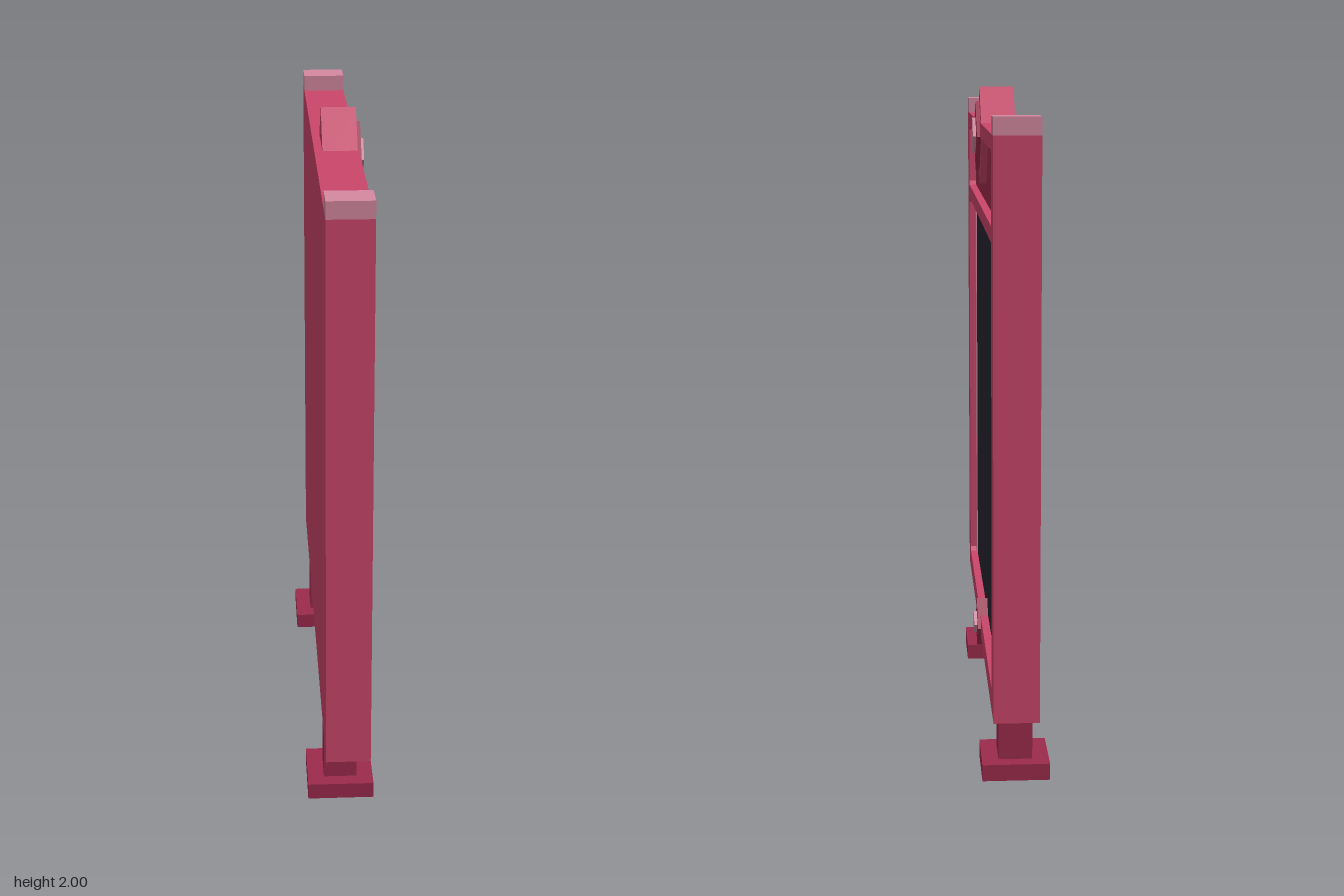
import * as THREE from 'three';

const mat = (name, color) => {
  const m = new THREE.MeshStandardMaterial({ color });
  m.name = name;
  return m;
};

export function createModel() {
  const frameMat = mat('rose frame', 0xca466a);
  const darkMat = mat('dark berry', 0x9c2b4d);
  const paleMat = mat('pale pink', 0xd488a0);
  const screenMat = mat('dark screen', 0x262631);

  const group = new THREE.Group();
  const add = (name, geometry, material) => {
    const mesh = new THREE.Mesh(geometry, material);
    mesh.name = name;
    group.add(mesh);
    return mesh;
  };

  // Box given by its lower and upper limits on each axis
  const box = (name, material, [x0, x1], [y0, y1], [z0, z1]) =>
    add(name, new THREE.BoxGeometry(x1 - x0, y1 - y0, z1 - z0), material)
      .position.set((x0 + x1) / 2, (y0 + y1) / 2, (z0 + z1) / 2);

  const vectors = (pairs) => pairs.map(([x, y]) => new THREE.Vector2(x, y));

  // Rectangular opening with small clipped corners
  const opening = (w, y0, y1, c) => new THREE.Path(vectors([
    [-w + c, y0], [w - c, y0], [w, y0 + c], [w, y1 - c],
    [w - c, y1], [-w + c, y1], [-w, y1 - c], [-w, y0 + c],
  ]));

  // Outline extruded along x between x0 and x1
  const slab = (shape, x0, x1) =>
    new THREE.ExtrudeGeometry(shape, { depth: x1 - x0, bevelEnabled: false })
      .translate(0, 0, x0).rotateY(Math.PI / 2);

  const diamond = (name, material, y, r, x0, x1) => add(name, slab(
    new THREE.Shape(vectors([[r, y], [0, y + r], [-r, y], [0, y - r]])), x0, x1), material);

  // Board back and the frame with its two openings
  box('boardBack', frameMat, [-0.054, 0.05], [0.252, 1.894], [-0.82, 0.82]);
  const outline = new THREE.Shape(vectors(
    [[-0.82, 0.252], [0.82, 0.252], [0.82, 1.894], [-0.82, 1.894]]));
  outline.holes.push(opening(0.72, 0.317, 1.6, 0.014), opening(0.72, 1.645, 1.85, 0.014));
  add('frame', slab(outline, 0.05, 0.077), frameMat);

  // Recessed header panel and screen
  box('headerPanel', darkMat, [0.048, 0.054], [1.64, 1.855], [-0.725, 0.725]);
  box('screen', screenMat, [0.048, 0.053], [0.312, 1.605], [-0.685, 0.685]);

  // Parts repeated on both sides
  for (const s of [-1, 1]) {
    const span = (a, b) => (s > 0 ? [a, b] : [-b, -a]);
    box('screenTrim', paleMat, [0.048, 0.056], [0.312, 1.605], span(0.684, 0.725));
    box('postCap', paleMat, [-0.054, 0.077], [1.894, 1.943], span(0.718, 0.82));
    box('leg', darkMat, [-0.05, 0.05], [0.05, 0.252], span(0.485, 0.592));
    box('foot', darkMat, [-0.1, 0.1], [0, 0.05], span(0.435, 0.635));
  }

  // Top and bottom diamond ornaments
  diamond('topDiamondBase', frameMat, 1.852, 0.148, -0.03, 0.0745);
  diamond('topDiamondRim', darkMat, 1.852, 0.105, 0.06, 0.087);
  diamond('topDiamondGem', paleMat, 1.852, 0.054, 0.08, 0.097);
  diamond('bottomDiamondRim', darkMat, 0.282, 0.079, 0.05, 0.087);
  diamond('bottomDiamondGem', paleMat, 0.282, 0.036, 0.08, 0.097);

  return group;
}
